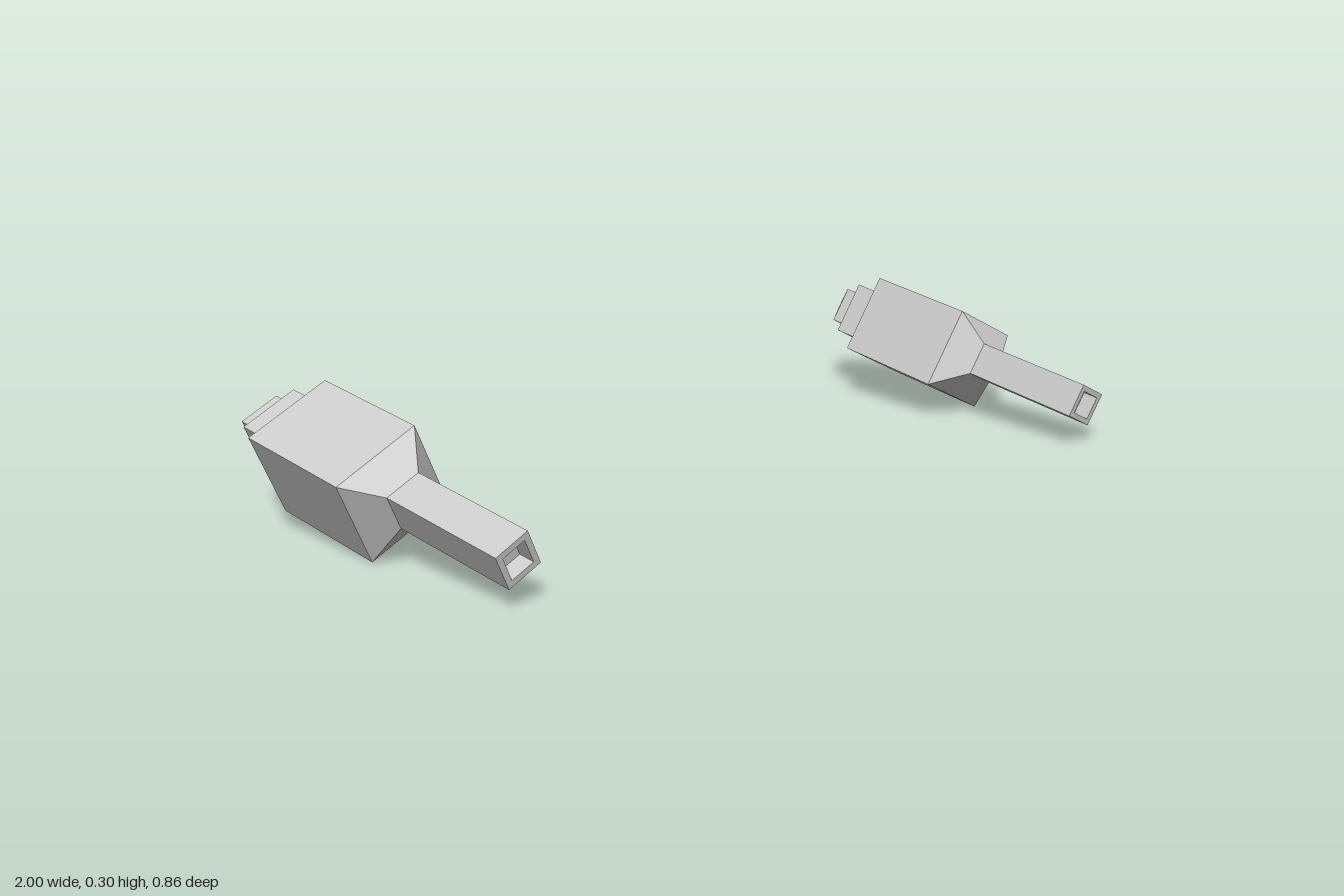
import * as THREE from 'three';

// Rectangular loft along +z. Each ring is [z, width, height, yOffset].
function loft(rings) {
  const pos = [];
  const corners = rings.map(([z, w, h, y = 0]) =>
    [[1, -1], [1, 1], [-1, 1], [-1, -1]].map(([sx, sy]) => [sx * w / 2, y + sy * h / 2, z]));
  const quad = (a, b, c, d) => pos.push(...a, ...b, ...c, ...a, ...c, ...d);
  for (let r = 0; r < corners.length - 1; r++) {
    for (let i = 0; i < 4; i++) {
      const j = (i + 1) % 4;
      quad(corners[r][i], corners[r][j], corners[r + 1][j], corners[r + 1][i]);
    }
  }
  const first = corners[0], last = corners[corners.length - 1];
  quad(first[3], first[2], first[1], first[0]);
  quad(...last);
  const geo = new THREE.BufferGeometry();
  geo.setAttribute('position', new THREE.Float32BufferAttribute(pos, 3));
  geo.computeVertexNormals();
  return geo;
}

// Ring profiles; z = 0 is the front edge of the square housing
const LIFT = 0.009;
const PARTS = {
  // square housing with sloped front shoulder
  housing: [[-0.302, 0.2, 0.2], [0, 0.2, 0.2], [0.058, 0.081, 0.081, LIFT]],
  // slim barrel with a recessed muzzle
  barrel: [
    [0.058, 0.081, 0.081, LIFT], [0.385, 0.081, 0.081, LIFT],
    [0.385, 0.055, 0.055, LIFT], [0.345, 0.055, 0.055, LIFT],
  ],
  // stepped rear block ending in a blunt point
  rearCap: [
    [-0.473, 0.03, 0.03], [-0.4415, 0.092, 0.09], [-0.4105, 0.092, 0.09],
    [-0.392, 0.132, 0.132], [-0.302, 0.132, 0.132],
  ],
};

export function createModel() {
  const model = new THREE.Group();
  model.name = 'cannonPair';
  const material = new THREE.MeshStandardMaterial({ color: 0xcccccc, flatShading: true });
  const geometries = Object.entries(PARTS).map(([name, rings]) => [name, loft(rings)]);

  // Mirrored pair, pitched down at the front and rolled outward
  for (const side of [1, -1]) {
    const cannon = new THREE.Group();
    cannon.name = side > 0 ? 'leftCannon' : 'rightCannon';
    for (const [name, geometry] of geometries) {
      const mesh = new THREE.Mesh(geometry, material);
      mesh.name = name;
      cannon.add(mesh);
    }
    cannon.rotation.set(0.138, 0, -side * 0.459, 'ZYX');
    cannon.position.set(side * 0.847, 0.134, 0.043);
    model.add(cannon);
  }
  return model;
}
